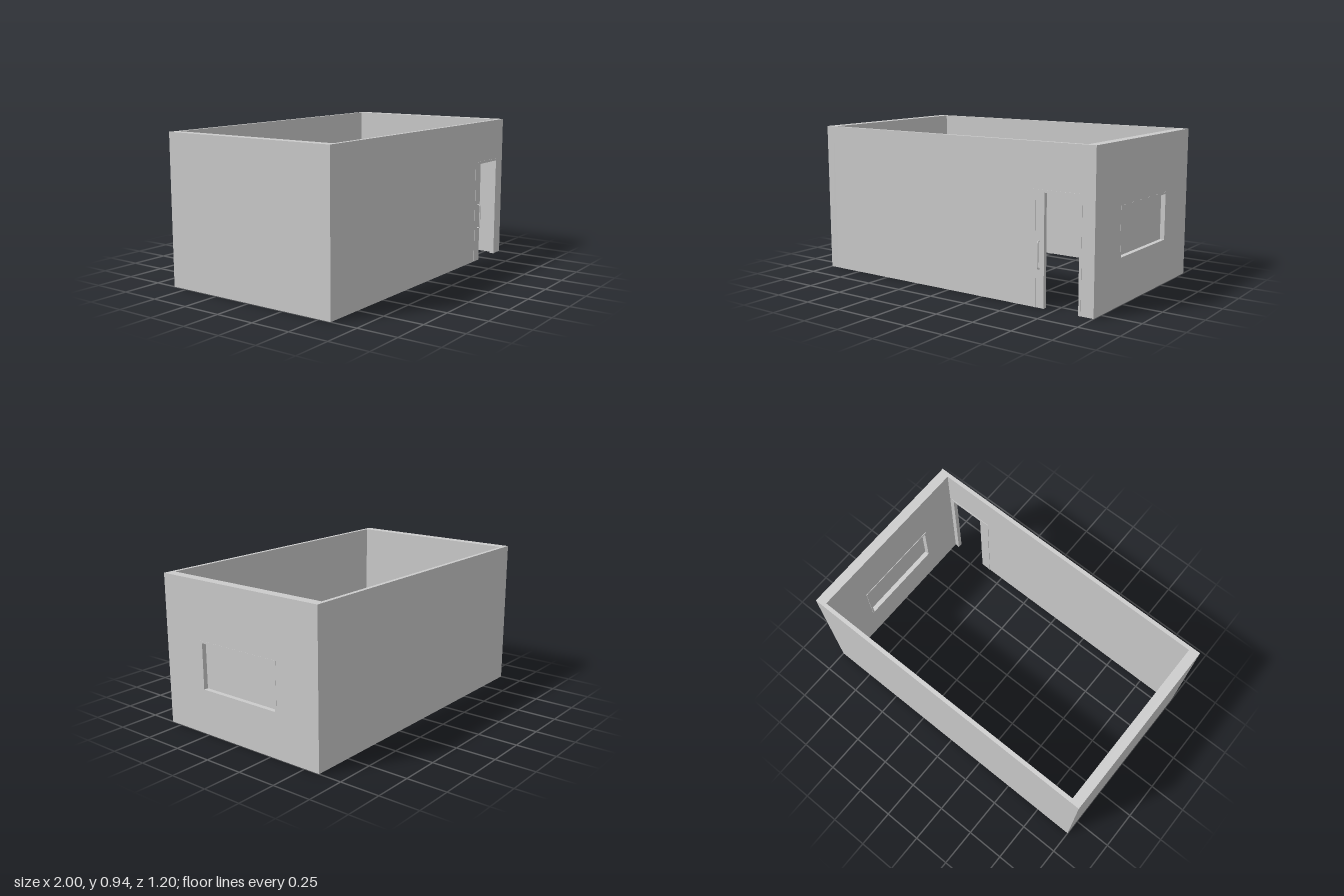
import * as THREE from 'three';

const material = new THREE.MeshStandardMaterial({ color: 0xcccccc });

const HEIGHT = 0.94;
const BACK = -0.602, FRONT = 0.58; // outer faces in z
const SIDE = 0.0625, THIN = 0.025; // wall thicknesses

function add(parent, name, geometry) {
  const mesh = new THREE.Mesh(geometry, material);
  mesh.name = name;
  parent.add(mesh);
  return mesh;
}

// Box given by its lower and upper limits
function box(parent, name, [x0, x1], [y0, y1], [z0, z1]) {
  const mesh = add(parent, name, new THREE.BoxGeometry(x1 - x0, y1 - y0, z1 - z0));
  mesh.position.set((x0 + x1) / 2, (y0 + y1) / 2, (z0 + z1) / 2);
  return mesh;
}

function rectangle(Type, x0, x1, y0, y1) {
  return new Type([[x0, y0], [x1, y0], [x1, y1], [x0, y1]].map(([x, y]) => new THREE.Vector2(x, y)));
}

function extrude(shape, depth) {
  return new THREE.ExtrudeGeometry(shape, { depth, bevelEnabled: false });
}

function createWalls() {
  const walls = new THREE.Group();
  walls.name = 'walls';
  const inner = 1 - SIDE;
  box(walls, 'plainSideWall', [-1, -inner], [0, HEIGHT], [BACK, FRONT]);
  box(walls, 'backWall', [-inner, inner], [0, HEIGHT], [BACK, BACK + THIN]);

  // Front wall with a notch for the doorway
  const front = new THREE.Shape([
    [-inner, 0], [0.61, 0], [0.61, 0.675], [0.92, 0.675], [0.92, 0],
    [inner, 0], [inner, HEIGHT], [-inner, HEIGHT],
  ].map(([x, y]) => new THREE.Vector2(x, y)));
  add(walls, 'frontWall', extrude(front, THIN)).position.z = FRONT - THIN;

  // Side wall with a window hole; shape x runs along -z
  const side = rectangle(THREE.Shape, -FRONT, -BACK, 0, HEIGHT);
  side.holes.push(rectangle(THREE.Path, -0.29, 0.30, 0.267, 0.578));
  const wall = add(walls, 'windowSideWall', extrude(side, SIDE));
  wall.rotation.y = Math.PI / 2;
  wall.position.x = 1 - SIDE;
  return walls;
}

function createWindow() {
  const group = new THREE.Group();
  group.name = 'window';
  // Frame slightly proud of both wall faces
  const shape = rectangle(THREE.Shape, -0.29, 0.30, 0.267, 0.578);
  shape.holes.push(rectangle(THREE.Path, -0.278, 0.288, 0.28, 0.565));
  const frame = add(group, 'windowFrame', extrude(shape, SIDE + 0.005));
  frame.rotation.y = Math.PI / 2;
  frame.position.x = 1 - SIDE - 0.004;
  box(group, 'windowPane', [0.964, 0.972], [0.28, 0.565], [-0.288, 0.278]);
  return group;
}

function createDoor() {
  const group = new THREE.Group();
  group.name = 'door';
  const depth = [FRONT - THIN - 0.003, FRONT + 0.002];
  box(group, 'doorHeader', [0.61, 0.92], [0.66, 0.675], depth);
  box(group, 'doorJamb', [0.61, 0.625], [0, 0.66], depth);
  box(group, 'doorJamb', [0.905, 0.92], [0, 0.66], depth);
  // Leaf slid back into its pocket, leaving one edge showing
  box(group, 'doorLeaf', [0.625, 0.68], [0, 0.66], [FRONT - THIN, FRONT]);

  // Bent bar handle with rounded corners
  const y0 = 0.228, y1 = 0.386, zIn = FRONT - 0.002, zOut = 0.598, r = 0.013;
  const p = (y, z) => new THREE.Vector3(0.65, y, z);
  const path = new THREE.CurvePath();
  path.add(new THREE.LineCurve3(p(y0, zIn), p(y0, zOut - r)));
  path.add(new THREE.QuadraticBezierCurve3(p(y0, zOut - r), p(y0, zOut), p(y0 + r, zOut)));
  path.add(new THREE.LineCurve3(p(y0 + r, zOut), p(y1 - r, zOut)));
  path.add(new THREE.QuadraticBezierCurve3(p(y1 - r, zOut), p(y1, zOut), p(y1, zOut - r)));
  path.add(new THREE.LineCurve3(p(y1, zOut - r), p(y1, zIn)));
  add(group, 'doorHandle', new THREE.TubeGeometry(path, 64, 0.004, 10));
  return group;
}

export function createModel() {
  const model = new THREE.Group();
  model.name = 'room';
  model.add(createWalls(), createWindow(), createDoor());
  return model;
}
